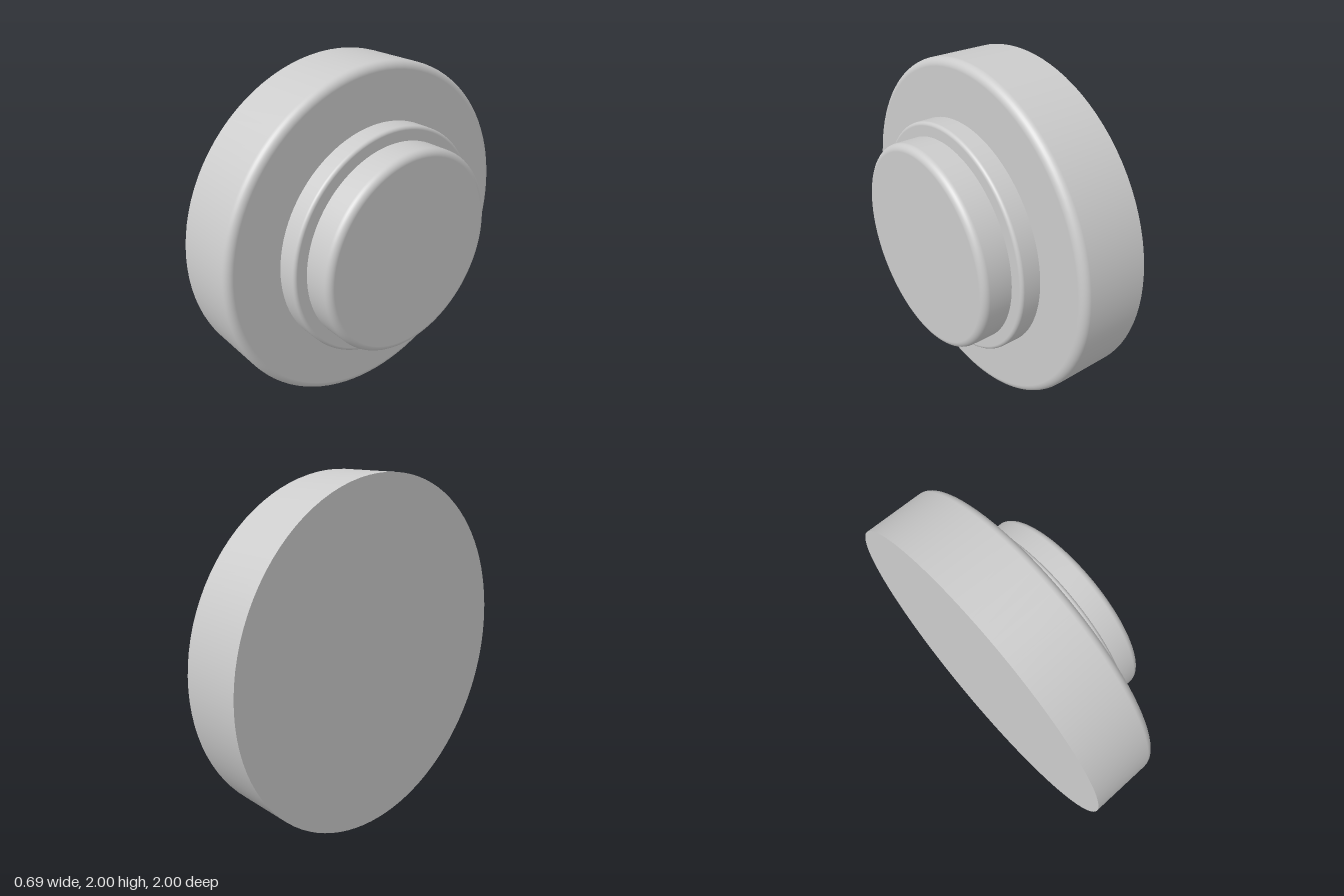
import * as THREE from 'three';

const material = new THREE.MeshStandardMaterial({ color: 0xcccccc });

// Disc along +x from x0 to x1, with a rounded rim on its outer (+x) face
function roundedDisc(name, radius, x0, x1, fillet) {
  const points = [
    new THREE.Vector2(0, x0),
    new THREE.Vector2(radius, x0),
    new THREE.Vector2(radius, x0), // repeated point keeps the back edge sharp
  ];
  const steps = 8;
  for (let i = 0; i <= steps; i++) {
    const a = (i / steps) * Math.PI / 2;
    points.push(new THREE.Vector2(
      radius - fillet + fillet * Math.cos(a),
      x1 - fillet + fillet * Math.sin(a),
    ));
  }
  points.push(new THREE.Vector2(0, x1));

  const geometry = new THREE.LatheGeometry(points, 96);
  geometry.rotateZ(-Math.PI / 2);
  const mesh = new THREE.Mesh(geometry, material);
  mesh.name = name;
  mesh.position.y = 1;
  return mesh;
}

export function createModel() {
  const model = new THREE.Group();
  model.name = 'roundButton';
  model.add(
    roundedDisc('basePlate', 1, -0.35, 0.05, 0.045),
    roundedDisc('collar', 0.68, 0.05, 0.17, 0.02),
    roundedDisc('buttonCap', 0.6, 0.17, 0.345, 0.04),
  );
  return model;
}
